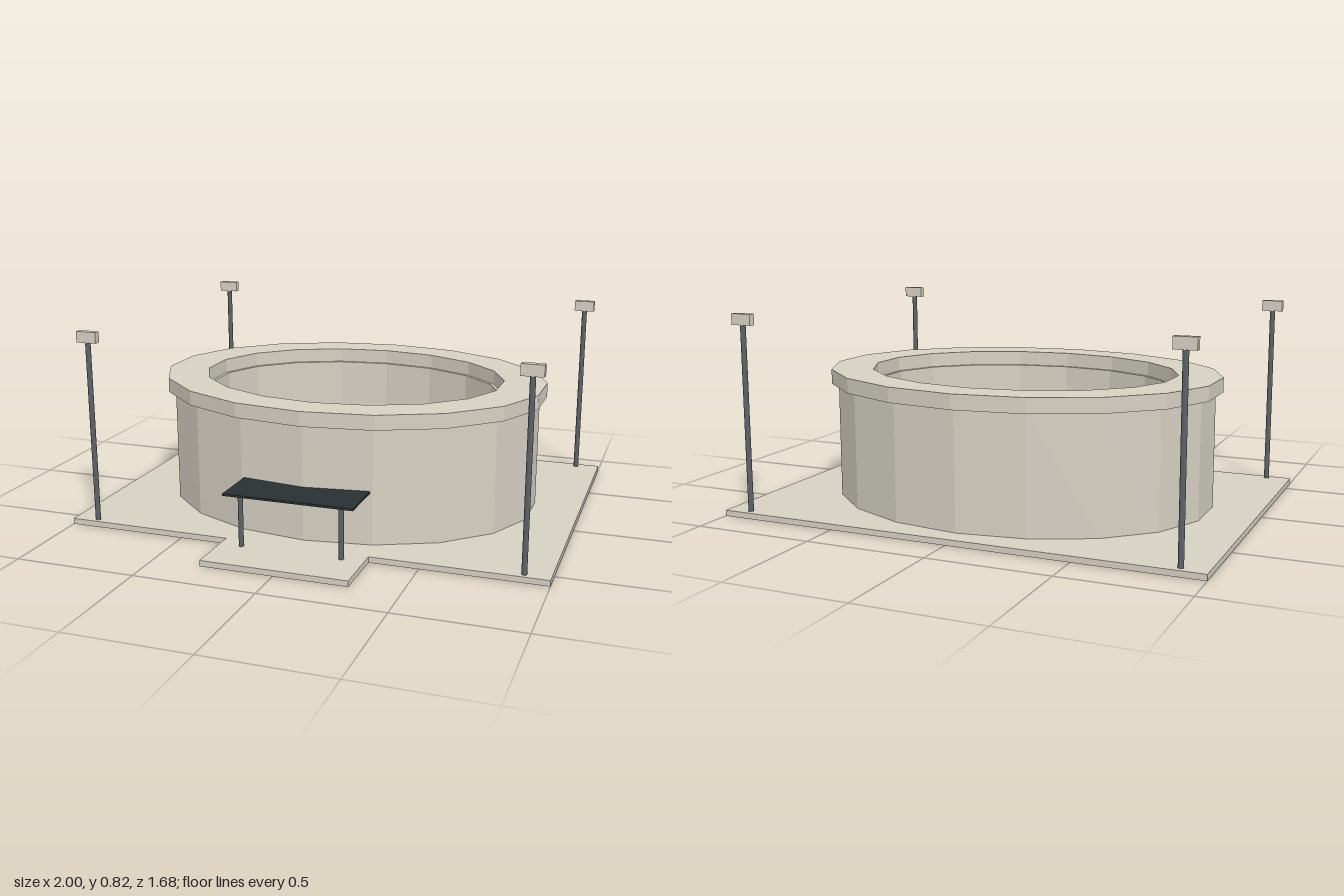
import * as THREE from 'three';

const mat = (name, color) => {
  const m = new THREE.MeshStandardMaterial({ color, flatShading: true });
  m.name = name;
  return m;
};

const SIDES = 18;
const CENTRE_Z = -0.12;

// Points of an 18-sided oval with a corner on the z axis, counter-clockwise
const oval = (rx, rz) => Array.from({ length: SIDES }, (_, i) => {
  const a = (i / SIDES) * Math.PI * 2;
  return new THREE.Vector2(-rx * Math.sin(a), rz * Math.cos(a));
});

// Upright prism of a plan shape; the plan's y runs towards -z
function prism(shape, y0, y1) {
  const g = new THREE.ExtrudeGeometry(shape, { depth: y1 - y0, bevelEnabled: false });
  return g.rotateX(-Math.PI / 2).translate(0, y0, 0);
}

function ovalPrism(outer, inner, y0, y1) {
  const shape = new THREE.Shape(oval(...outer));
  if (inner) shape.holes.push(new THREE.Path(oval(...inner).reverse()));
  return prism(shape, y0, y1).translate(0, 0, CENTRE_Z);
}

export function createModel() {
  const concrete = mat('concrete', 0xd6d1c3);
  const grass = mat('grass', 0x7f9850);
  const steel = mat('steel', 0x5c6267);
  const canopyDark = mat('dark canopy', 0x293132);

  const model = new THREE.Group();
  model.name = 'stadium';
  const add = (name, geometry, material, parent = model) => {
    const mesh = new THREE.Mesh(geometry, material);
    mesh.name = name;
    parent.add(mesh);
  };
  const box = (w, h, d, x, y, z) => new THREE.BoxGeometry(w, h, d).translate(x, y, z);
  const post = (r, y0, y1, x, z) =>
    new THREE.CylinderGeometry(r, r, y1 - y0, 16).translate(x, (y0 + y1) / 2, z);

  // Ground slab with entrance apron
  const plan = [[-1, 0.84], [-1, -0.595], [-0.3, -0.595], [-0.3, -0.838],
    [0.3, -0.838], [0.3, -0.595], [1, -0.595], [1, 0.84]];
  const slab = new THREE.Shape(plan.map(([x, y]) => new THREE.Vector2(x, y)));
  add('groundSlab', prism(slab, 0, 0.024), concrete);

  // Bowl: wall, overhanging rim and raised pitch
  add('bowlWall', ovalPrism([0.813, 0.634], [0.645, 0.5], 0.024, 0.502), concrete);
  add('bowlRim', ovalPrism([0.843, 0.66], [0.66, 0.513], 0.502, 0.563), concrete);
  add('pitch', ovalPrism([0.625, 0.483], null, 0.024, 0.125), grass);

  // Entrance canopy on two posts
  const canopy = new THREE.Group();
  canopy.name = 'entranceCanopy';
  model.add(canopy);
  add('canopyRoof', box(0.535, 0.009, 0.238, 0, 0.243, 0.569), canopyDark, canopy);
  for (const s of [-1, 1]) {
    add('canopyPost', post(0.01, 0.024, 0.24, s * 0.208, 0.65), steel, canopy);
  }

  // Floodlights at the four corners
  for (const x of [-0.898, 0.898]) {
    for (const z of [-0.808, 0.568]) {
      const light = new THREE.Group();
      light.name = 'floodlight';
      model.add(light);
      add('floodlightPole', post(0.011, 0.024, 0.78, x, z), steel, light);
      add('floodlightHead', box(0.087, 0.045, 0.028, x, 0.802, z), concrete, light);
    }
  }
  return model;
}
